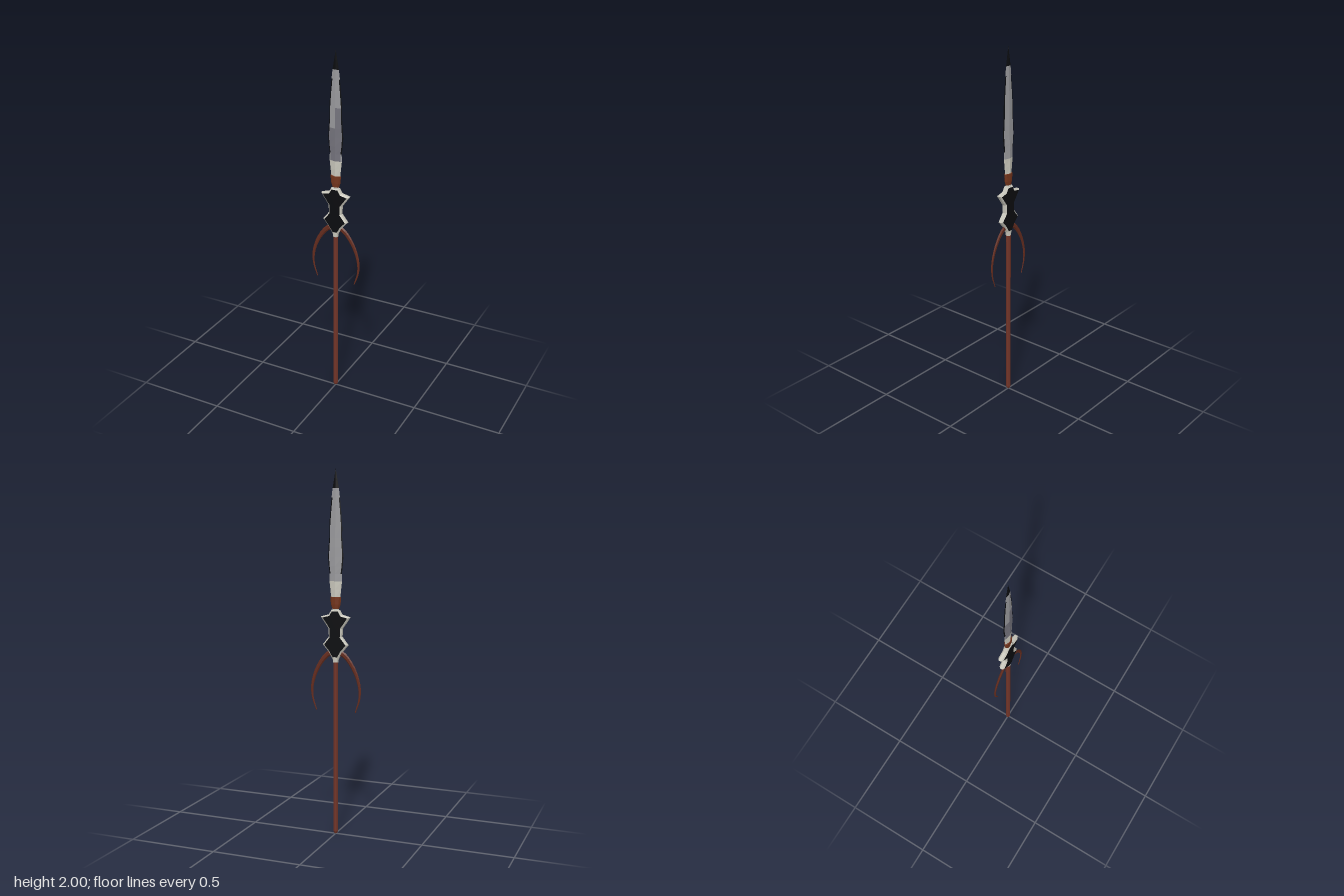
import * as THREE from 'three';

const mat = (name, color) => {
  const m = new THREE.MeshStandardMaterial({ color });
  m.name = name;
  return m;
};

// Faceted skin over closed rings of points; pick(row, column) chooses the material slot
function loft(name, rings, materials, pick = () => 0) {
  const buckets = materials.map(() => []);
  const n = rings[0].length;
  for (let i = 0; i < rings.length - 1; i++) {
    for (let j = 0; j < n; j++) {
      const k = (j + 1) % n;
      const a = rings[i][j], b = rings[i][k], c = rings[i + 1][k], d = rings[i + 1][j];
      buckets[pick(i, j)].push(...a, ...b, ...c, ...a, ...c, ...d);
    }
  }
  const geo = new THREE.BufferGeometry();
  geo.setAttribute('position', new THREE.Float32BufferAttribute(buckets.flat(), 3));
  let start = 0;
  buckets.forEach((b, i) => {
    if (b.length) geo.addGroup(start, b.length / 3, i);
    start += b.length / 3;
  });
  geo.computeVertexNormals();
  const mesh = new THREE.Mesh(geo, materials);
  mesh.name = name;
  return mesh;
}

// Horizontal elliptical ring at height y
const ellipse = (y, w, d, sides = 8) => Array.from({ length: sides }, (_, i) => {
  const a = (i / sides) * Math.PI * 2;
  return [Math.sin(a) * w, y, Math.cos(a) * d];
});

// Moves a counter-clockwise outline inwards by a constant margin
function inset(pts, margin) {
  return pts.map((p, i) => {
    const a = pts[(i + pts.length - 1) % pts.length], b = pts[(i + 1) % pts.length];
    const normal = (s, e) => new THREE.Vector2(s[1] - e[1], e[0] - s[0]).normalize();
    const n1 = normal(a, p), n2 = normal(p, b);
    const k = margin / (1 + n1.dot(n2));
    return [p[0] + (n1.x + n2.x) * k, p[1] + (n1.y + n2.y) * k];
  });
}

export function createModel() {
  const group = new THREE.Group();
  group.name = 'spear';
  const wood = mat('red brown wood', 0x713428);
  const horn = mat('dark brown horn', 0x642c1e);
  const leather = mat('leather wrap', 0x73341b);
  const black = mat('black', 0x0b0c0f);
  const silver = mat('pale silver', 0xc8c6bb);
  const steel = mat('steel', 0x98989b);
  const darkSteel = mat('dark steel', 0x74737c);

  // Shaft with a tapered foot
  group.add(loft('shaft', [
    ellipse(0, 0.001, 0.001), ellipse(0.004, 0.008, 0.008),
    ellipse(0.016, 0.0135, 0.0135), ellipse(1.0, 0.0135, 0.0135),
  ], [wood]));

  // Metal sockets below and above the guard
  group.add(loft('lowerSocket', [
    ellipse(0.97, 0.0, 0.0), ellipse(0.97, 0.015, 0.0145),
    ellipse(1.0, 0.02, 0.015), ellipse(1.03, 0.022, 0.013),
  ], [silver]));
  group.add(loft('upperSocket', [
    ellipse(1.235, 0.02, 0.012), ellipse(1.27, 0.018, 0.011),
  ], [silver]));

  // Star-shaped guard: bevelled silver rim with black faces
  const right = [
    [0.018, 0.992], [0.038, 1.027], [0.072, 1.066], [0.037, 1.11],
    [0.039, 1.155], [0.084, 1.218], [0.037, 1.23], [0.022, 1.256],
  ];
  const outer = [...right, ...right.map(([x, y]) => [-x, y]).reverse()];
  const inner = inset(outer, 0.008);
  const layer = (pts, z) => pts.map(([x, y]) => [x, y, z]);
  group.add(loft('guardRim', [
    layer(inner, -0.015), layer(outer, -0.008), layer(outer, 0.008), layer(inner, 0.015),
  ], [silver]));
  const face = new THREE.ShapeGeometry(new THREE.Shape(inner.map(p => new THREE.Vector2(...p))));
  for (const side of [0, 1]) {
    const plate = new THREE.Mesh(face, black);
    plate.name = side ? 'guardBackFace' : 'guardFrontFace';
    plate.rotation.y = side * Math.PI;
    plate.position.z = side ? -0.015 : 0.015;
    group.add(plate);
  }

  // Two curved, tapering horns hanging below the guard
  const path = new THREE.CatmullRomCurve3([
    [0.012, 1.03], [0.055, 1.005], [0.108, 0.93], [0.137, 0.84], [0.136, 0.77], [0.114, 0.7],
  ].map(([x, y]) => new THREE.Vector3(x, y, 0)));
  const hornRings = [];
  const steps = 16;
  for (let i = 0; i <= steps; i++) {
    const t = i / steps, p = path.getPoint(t), d = path.getTangent(t);
    const w = THREE.MathUtils.lerp(0.018, 0.003, Math.pow(t, 0.8));
    const h = THREE.MathUtils.lerp(0.008, 0.002, t);
    hornRings.push(Array.from({ length: 6 }, (_, j) => {
      const a = (j / 6) * Math.PI * 2, u = Math.cos(a) * w;
      return [p.x - d.y * u, p.y + d.x * u, Math.sin(a) * h];
    }));
  }
  hornRings.push(Array.from({ length: 6 }, () => [0.113, 0.697, 0]));
  for (const side of [0, 1]) {
    const mesh = loft(side ? 'rightHorn' : 'leftHorn', hornRings, [horn]);
    mesh.rotation.y = side * Math.PI;
    group.add(mesh);
  }

  // Leather binding at the root of the blade
  group.add(loft('binding', [
    ellipse(1.262, 0, 0), ellipse(1.262, 0.02, 0.012), ellipse(1.285, 0.028, 0.014),
    ellipse(1.325, 0.031, 0.014), ellipse(1.328, 0, 0),
  ], [leather]));

  // Leaf blade with a central ridge: [height, half width, half thickness]
  const profile = [
    [1.32, 0.026, 0.011], [1.365, 0.031, 0.011], [1.41, 0.036, 0.011], [1.45, 0.035, 0.010],
    [1.49, 0.04, 0.010], [1.54, 0.044, 0.009], [1.59, 0.041, 0.009], [1.64, 0.037, 0.008],
    [1.7, 0.037, 0.007], [1.78, 0.031, 0.006], [1.85, 0.024, 0.005], [1.9, 0.018, 0.004],
    [1.95, 0.009, 0.003], [2.0, 0.0005, 0.0005],
  ];
  const bladeRings = profile.map(([y, w, d]) => {
    const e = Math.max(w - 0.006, w * 0.5), f = d * 0.3;
    return [
      [0, y, d], [e, y, f], [w, y, 0], [e, y, -f],
      [0, y, -d], [-e, y, -f], [-w, y, 0], [-e, y, f],
    ];
  });
  group.add(loft('blade', bladeRings, [steel, darkSteel, silver, black], (row, col) => {
    if (row >= 11) return 3;                        // black tip
    if (row < 2) return 2;                          // pale root
    const edge = [1, 2, 5, 6].includes(col);
    if (edge) return row >= 3 && row < 10 ? 3 : 0;  // blackened cutting edges
    if (col === 0) return row < 8 ? 1 : 0;          // darker front face
    return col === 7 && row < 6 ? 1 : 0;
  }));

  return group;
}
